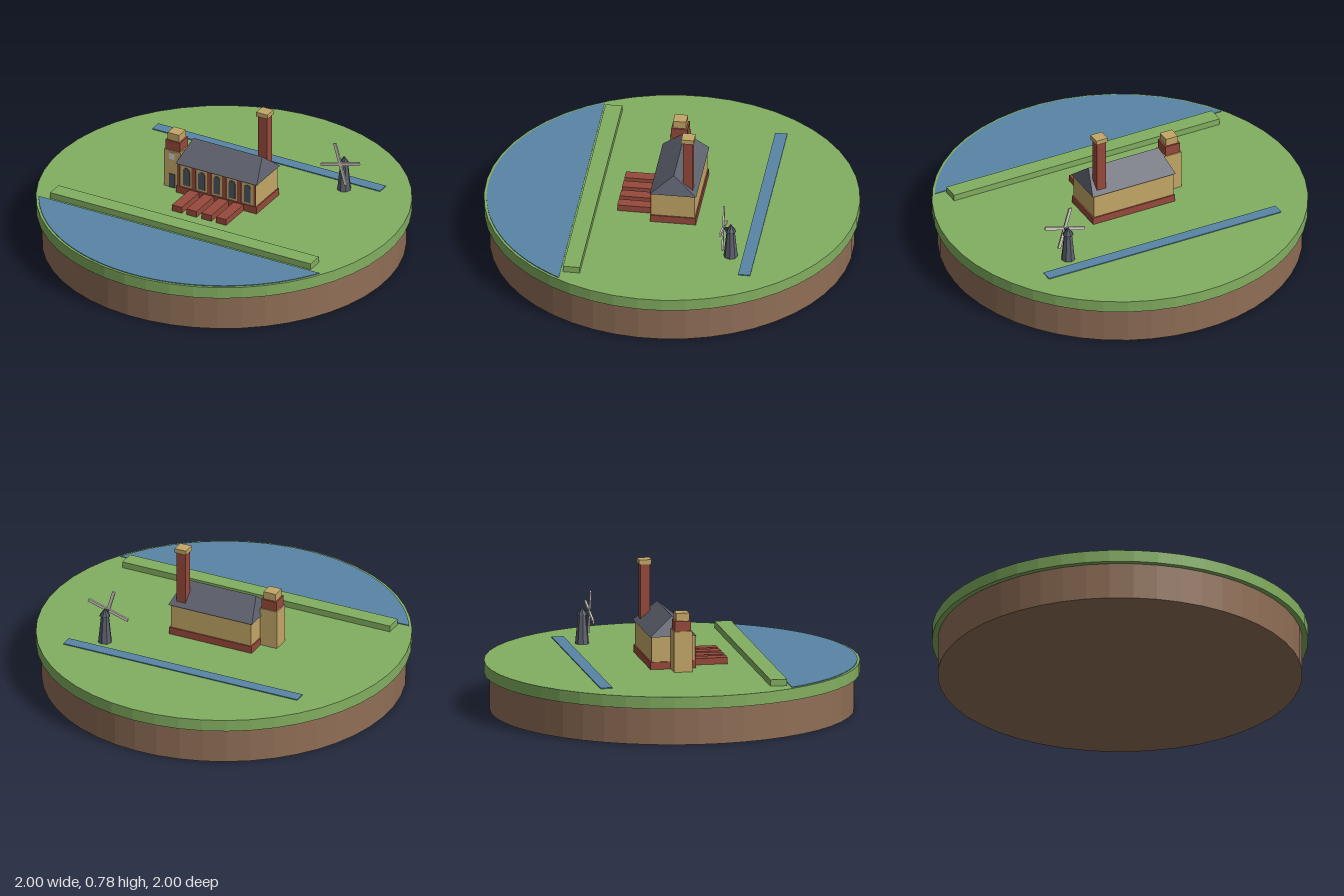
import * as THREE from 'three';
import { ConvexGeometry } from 'three/addons/geometries/ConvexGeometry.js';

const mat = (name, color) => {
  const m = new THREE.MeshStandardMaterial({ color, flatShading: true });
  m.name = name;
  return m;
};

export function createModel() {
  const earth = mat('earth', 0x8f6e56);
  const grass = mat('grass', 0x82ae60);
  const water = mat('water', 0x5885a6);
  const brick = mat('brick', 0x984a3c);
  const stone = mat('sandstone', 0xc4a767);
  const slate = mat('slate', 0x5c606c);
  const glass = mat('dark glass', 0x4a5360);
  const pale = mat('pale wood', 0xd6d0c8);
  const GROUND = 0.265;

  const model = new THREE.Group();
  model.name = 'pumpingStationDiorama';
  const add = (parent, name, geometry, material, x = 0, y = 0, z = 0) => {
    const mesh = new THREE.Mesh(geometry, material);
    mesh.name = name;
    mesh.position.set(x, y, z);
    parent.add(mesh);
    return mesh;
  };
  // Box standing on height y0 and reaching y1
  const block = (parent, name, material, w, d, x, z, y0, y1) =>
    add(parent, name, new THREE.BoxGeometry(w, y1 - y0, d), material, x, (y0 + y1) / 2, z);

  // Round base
  add(model, 'earthBase', new THREE.CylinderGeometry(0.97, 0.97, 0.2, 48), earth, 0, 0.1, 0);
  add(model, 'grassDisc', new THREE.CylinderGeometry(1, 1, GROUND - 0.2, 48), grass, 0, (GROUND + 0.2) / 2, 0);

  // Everything on the ground shares one turned axis
  const site = new THREE.Group();
  site.name = 'site';
  site.rotation.y = -Math.PI / 9;
  model.add(site);

  // Lake as a circle segment, dike and canal
  const a = Math.asin(0.485 / 0.985);
  const lakeShape = new THREE.Shape().absarc(0, 0, 0.985, a, Math.PI - a, false);
  const lakeGeo = new THREE.ExtrudeGeometry(lakeShape, { depth: 0.005, bevelEnabled: false, curveSegments: 40 });
  lakeGeo.rotateX(Math.PI / 2);
  add(site, 'lake', lakeGeo, water, 0, GROUND + 0.004, 0);
  block(site, 'dike', grass, 1.59, 0.09, 0, 0.426, GROUND - 0.01, 0.3);
  block(site, 'canal', water, 1.39, 0.065, 0, -0.487, GROUND - 0.002, GROUND + 0.005);

  // Main hall
  const hall = new THREE.Group();
  hall.name = 'hall';
  hall.position.z = -0.04;
  site.add(hall);
  block(hall, 'plinth', brick, 0.49, 0.245, 0, 0, GROUND - 0.01, 0.305);
  block(hall, 'walls', stone, 0.476, 0.232, 0, 0, 0.3, 0.442);

  // Hipped roof
  const roofPoints = [];
  for (const s of [-1, 1]) {
    roofPoints.push(new THREE.Vector3(s * 0.21, 0.545, 0));
    for (const t of [-1, 1]) roofPoints.push(new THREE.Vector3(s * 0.248, 0.44, t * 0.125));
  }
  add(hall, 'roof', new ConvexGeometry(roofPoints), slate);

  // Arched windows between brick piers
  const arch = new THREE.Shape();
  arch.moveTo(-0.02, 0);
  arch.lineTo(0.02, 0);
  arch.lineTo(0.02, 0.085);
  arch.absarc(0, 0.085, 0.02, 0, Math.PI, false);
  const archGeo = new THREE.ExtrudeGeometry(arch, { depth: 0.006, bevelEnabled: false, curveSegments: 6 });
  for (let i = 0; i < 5; i++) add(hall, 'window', archGeo, glass, (i - 2) * 0.093, 0.318, 0.114);
  for (let i = 0; i < 6; i++) {
    block(hall, 'pier', brick, i % 5 ? 0.024 : 0.012, 0.012, (i - 2.5) * 0.0925, 0.116, 0.3, 0.44);
  }

  // Outlet culverts in front
  for (let i = 0; i < 4; i++) {
    block(site, 'culvert', brick, 0.06, 0.2, (i - 1.5) * 0.09, 0.17, GROUND - 0.01, 0.3);
  }

  // Tall chimney
  block(site, 'chimneyShaft', brick, 0.053, 0.053, 0.185, -0.115, 0.3, 0.757);
  block(site, 'chimneyCap', stone, 0.068, 0.068, 0.185, -0.115, 0.755, 0.78);

  // Side tower
  const tower = new THREE.Group();
  tower.name = 'tower';
  tower.position.set(-0.291, 0, -0.004);
  site.add(tower);
  block(tower, 'towerBody', stone, 0.1, 0.1, 0, 0, GROUND - 0.01, 0.485);
  block(tower, 'towerBand', brick, 0.088, 0.088, 0, 0, 0.484, 0.54);
  block(tower, 'towerCap', stone, 0.071, 0.071, 0, 0, 0.539, 0.582);
  block(tower, 'towerDoor', glass, 0.036, 0.006, 0, 0.051, GROUND, 0.346);
  block(tower, 'towerWindow', pale, 0.032, 0.006, 0, 0.051, 0.435, 0.475);

  // Windmill
  const mill = new THREE.Group();
  mill.name = 'windmill';
  mill.position.set(0.513, 0, -0.389);
  site.add(mill);
  add(mill, 'millBody', new THREE.CylinderGeometry(0.022, 0.038, 0.155, 8), slate, 0, GROUND + 0.0775, 0);
  add(mill, 'millCap', new THREE.ConeGeometry(0.03, 0.045, 8), glass, 0, 0.4425, 0);
  block(mill, 'sailAxle', glass, 0.012, 0.04, 0, 0.02, 0.428, 0.44);
  const sails = new THREE.Group();
  sails.name = 'sails';
  sails.position.set(0, 0.434, 0.04);
  sails.rotation.z = 0.28;
  mill.add(sails);
  add(sails, 'sail', new THREE.BoxGeometry(0.245, 0.017, 0.01), pale);
  add(sails, 'sail', new THREE.BoxGeometry(0.017, 0.245, 0.009), pale);

  return model;
}
